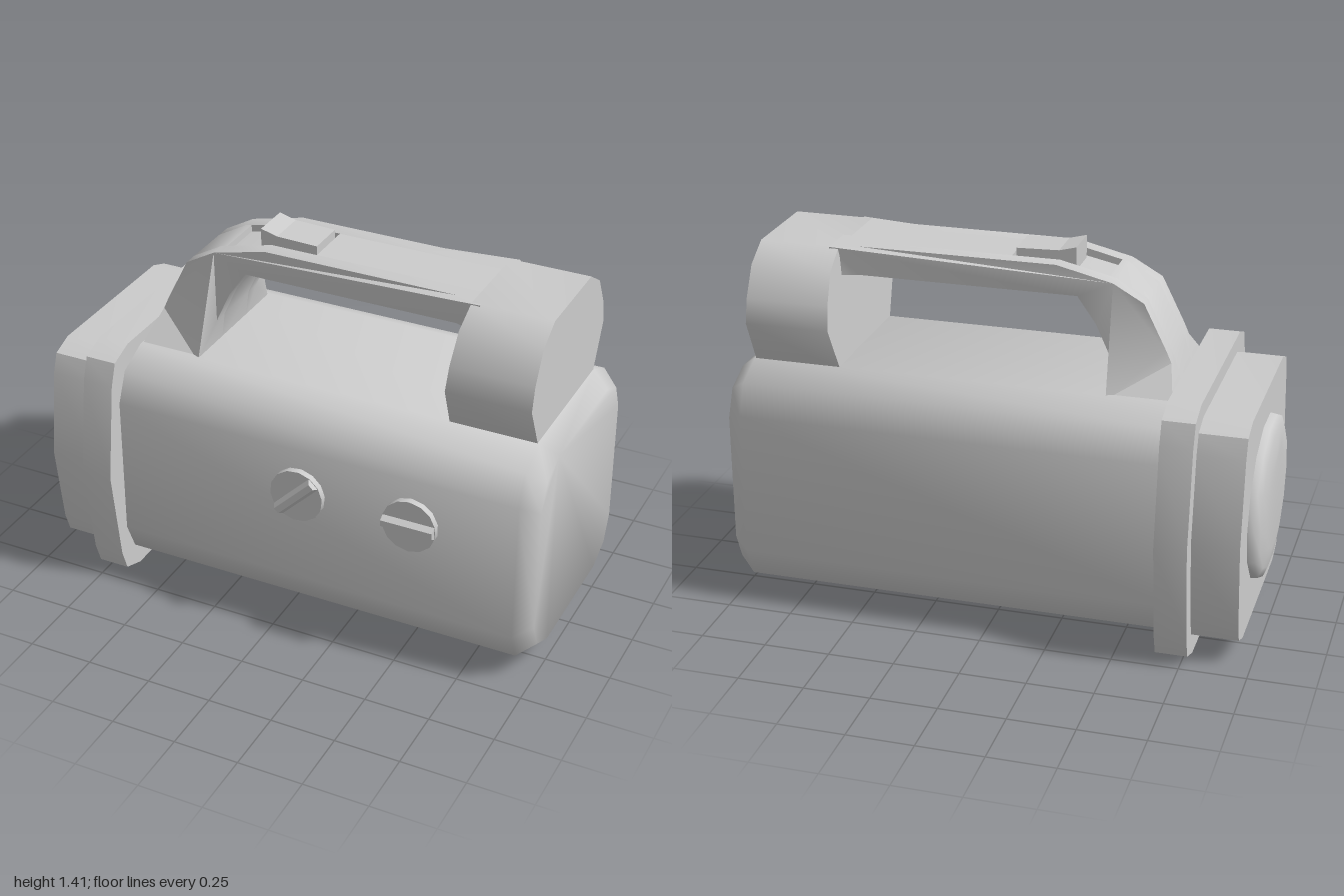
import * as THREE from 'three';
import { toCreasedNormals } from 'three/addons/utils/BufferGeometryUtils.js';

const material = new THREE.MeshStandardMaterial({ color: 0xcccccc });

function addMesh(parent, name, geometry, crease) {
  const mesh = new THREE.Mesh(toCreasedNormals(geometry, crease), material);
  mesh.name = name;
  parent.add(mesh);
  return mesh;
}

// Mirror a half outline of [z, y] points, listed from top to bottom on the +z side.
function mirrorOutline(half) {
  return [...half, ...half.filter(([z]) => z > 0).reverse().map(([z, y]) => [-z, y])];
}

// Skin a closed, capped solid over rings of [x, y, z] points running along +x.
function loft(rings) {
  const n = rings[0].length;
  const last = (rings.length - 1) * n;
  const index = [];
  for (let i = 0; i < rings.length - 1; i++) {
    for (let j = 0; j < n; j++) {
      const a = i * n + j, b = i * n + (j + 1) % n;
      index.push(a, b, b + n, a, b + n, a + n);
    }
  }
  for (let k = 1; k < n - 1; k++) {
    index.push(0, k + 1, k, last, last + k, last + k + 1);
  }
  const geometry = new THREE.BufferGeometry();
  geometry.setAttribute('position', new THREE.Float32BufferAttribute(rings.flat(2), 3));
  geometry.setIndex(index);
  geometry.computeVertexNormals();
  return geometry;
}

// Place an outline at x, scaled about the lamp axis.
const MID = 0.4975;
const ringAt = (outline, x, sz = 1, sy = sz) =>
  outline.map(([z, y]) => [x, MID + (y - MID) * sy, z * sz]);

// Extrude an [x, y] profile between two z values.
function extrudeZ(points, z0, z1) {
  const shape = new THREE.Shape(points.map(([x, y]) => new THREE.Vector2(x, y)));
  const geometry = new THREE.ExtrudeGeometry(shape, { depth: z1 - z0, bevelEnabled: false });
  return geometry.translate(0, 0, z0);
}

function buildHandle() {
  const handle = new THREE.Group();
  handle.name = 'handle';
  const front = [[-0.655, 0.93], [-0.62, 1.045], [-0.6, 1.09], [-0.515, 1.26], [-0.4, 1.325]];
  const top = [[-0.19, 1.375], [0.56, 1.375], [0.66, 1.375]];
  const under = [[0.66, 1.265], [0.56, 1.265], [-0.27, 1.265], [-0.34, 1.165],
    [-0.395, 1.045], [-0.41, 0.93]];
  const slot = [[-0.375, 1.331], [-0.375, 1.305], [-0.19, 1.345], [-0.01, 1.345], [-0.01, 1.375]];

  // Middle strip carries the switch slot
  const middle = [...front, ...slot, ...top.slice(1), ...under].reverse();
  addMesh(handle, 'handleCore', extrudeZ(middle, -0.095, 0.095), 0.6);

  // Side strips flare out at the foot and where they meet the rear barrel
  const side = [...front, ...top, ...under].reverse();
  for (const s of [1, -1]) {
    const geometry = s > 0 ? extrudeZ(side, 0.095, 0.155) : extrudeZ(side, -0.155, -0.095);
    const p = geometry.attributes.position;
    for (let i = 0; i < p.count; i++) {
      if (Math.abs(p.getZ(i)) < 0.12) continue;
      if (p.getY(i) < 1) p.setZ(i, s * 0.28);
      else if (p.getX(i) > 0.6) p.setZ(i, s * 0.19);
    }
    geometry.computeVertexNormals();
    addMesh(handle, s > 0 ? 'handleSideLeft' : 'handleSideRight', geometry, 0.6);
  }

  // Sliding switch
  const slider = [[-0.245, 1.32], [-0.02, 1.33], [-0.02, 1.398], [-0.18, 1.403], [-0.245, 1.42]];
  addMesh(handle, 'switch', extrudeZ(slider, -0.075, 0.075), 0.1);
  return handle;
}

function buildKnob(x, turn) {
  const knob = new THREE.Group();
  knob.name = 'knob';
  const disc = new THREE.CylinderGeometry(0.105, 0.105, 0.045, 14);
  disc.rotateX(Math.PI / 2).translate(0, 0, 0.4525);
  addMesh(knob, 'knobDisc', disc, 0.6);

  // Finger grip with sloping flanks
  const grip = new THREE.BoxGeometry(0.2, 0.06, 0.03);
  const p = grip.attributes.position;
  for (let i = 0; i < p.count; i++) {
    if (p.getZ(i) > 0) p.setY(i, p.getY(i) * 0.4);
  }
  grip.translate(0, 0, 0.482);
  addMesh(knob, 'knobGrip', grip, 0.1);
  knob.position.set(x, 0.595, 0);
  knob.rotation.z = turn;
  return knob;
}

export function createModel() {
  const model = new THREE.Group();
  model.name = 'lantern';

  // Soft-cornered body with a bevelled rear
  const body = mirrorOutline([[0.28, 0.945], [0.4, 0.89], [0.45, 0.775],
    [0.45, 0.22], [0.4, 0.105], [0.28, 0.05]]);
  addMesh(model, 'body', loft([ringAt(body, -0.72), ringAt(body, 0.935),
    ringAt(body, 1, 0.89, 0.885)]), 1.15);

  // Collar and lamp head share one outline
  const head = mirrorOutline([[0.37, 0.99], [0.465, 0.955], [0.495, 0.87], [0.545, MID],
    [0.495, 0.125], [0.465, 0.04], [0.37, 0.005]]);
  addMesh(model, 'collar', loft([ringAt(head, -0.775), ringAt(head, -0.655)]), 0.4);
  addMesh(model, 'lampHead', loft([ringAt(head, -0.95, 0.87), ringAt(head, -0.76, 0.87)]), 0.4);

  // Domed lens
  const oval = Array.from({ length: 14 }, (_, i) => {
    const a = (i + 0.5) / 14 * Math.PI * 2;
    return [0.335 * Math.sin(a), MID + 0.312 * Math.cos(a)];
  });
  addMesh(model, 'lens', loft([ringAt(oval, -1, 0.62), ringAt(oval, -0.99, 0.86),
    ringAt(oval, -0.975, 0.98), ringAt(oval, -0.94)]), 1.1);

  // Rear barrel, its forward face leaning back slightly
  const barrel = mirrorOutline([[0.18, 1.375], [0.28, 1.312], [0.34, 1.2], [0.36, 1.11],
    [0.275, 0.93]]);
  const lean = barrel.map(([z, y]) => [0.6 + (y - 0.945) * 0.06, y, z]);
  addMesh(model, 'rearBarrel', loft([lean, ringAt(barrel, 0.93)]), 0.75);

  model.add(buildHandle(), buildKnob(0.09, Math.PI / 4), buildKnob(0.535, 0));
  return model;
}
